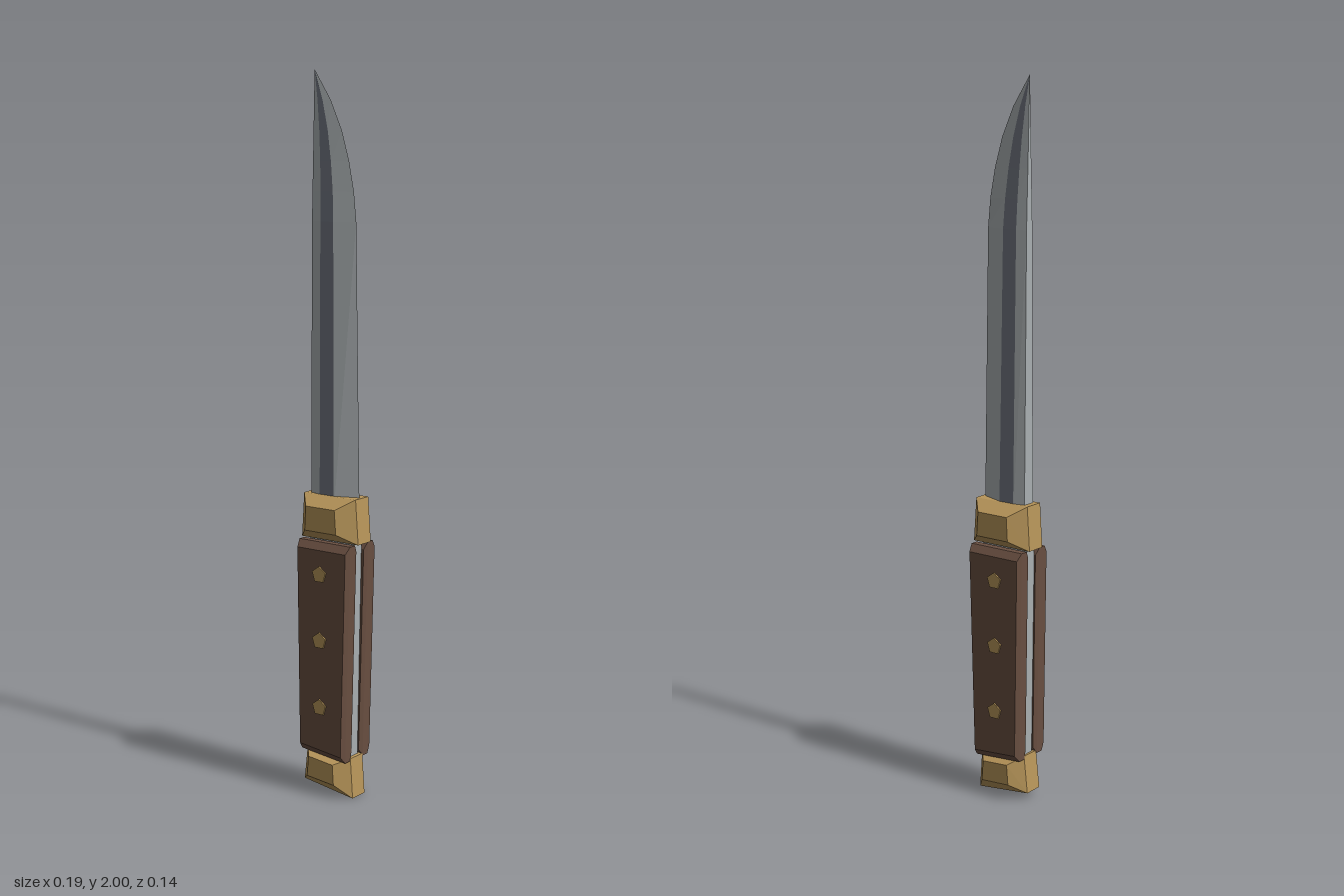
import * as THREE from 'three';

const mat = (name, color) => {
  const m = new THREE.MeshStandardMaterial({ color });
  m.name = name;
  return m;
};

// Flat-shaded loft through equal-length rings; sideMat picks a material index for each side
function loft(rings, sideMat = () => 0) {
  const n = rings[0].length;
  const faces = [[], []];
  const last = rings[rings.length - 1];
  for (let r = 0; r < rings.length - 1; r++) {
    for (let i = 0; i < n; i++) {
      const j = (i + 1) % n;
      const [a, b, c, d] = [rings[r][i], rings[r][j], rings[r + 1][j], rings[r + 1][i]];
      faces[sideMat(i)].push(...a, ...b, ...c, ...a, ...c, ...d);
    }
  }
  for (let i = 1; i < n - 1; i++) {
    faces[0].push(...last[0], ...last[i], ...last[i + 1]);
    faces[0].push(...rings[0][0], ...rings[0][i + 1], ...rings[0][i]);
  }
  const geo = new THREE.BufferGeometry();
  geo.setAttribute('position', new THREE.Float32BufferAttribute([...faces[0], ...faces[1]], 3));
  geo.addGroup(0, faces[0].length / 3, 0);
  if (faces[1].length) geo.addGroup(faces[0].length / 3, faces[1].length / 3, 1);
  geo.computeVertexNormals();
  return geo;
}

// Block made of four-cornered outlines stacked along z: layers = [[z, corners], ...]
const block = (layers) => loft(layers.map(([z, pts]) => pts.map(([x, y]) => [x, y, z])));

// Pull the corners (order: lower left, lower right, upper right, upper left) inwards
const inset = (pts, dx, dy) => pts.map(([x, y], i) => [
  x + (i === 0 || i === 3 ? dx : -dx),
  y + (i < 2 ? dy : -dy),
]);

export function createModel() {
  const steel = mat('steel', 0xaab0b2);
  const darkSteel = mat('dark steel', 0x727782);
  const brass = mat('brass', 0xb8965a);
  const wood = mat('wood', 0x694f41);

  const knife = new THREE.Group();
  knife.name = 'knife';
  const add = (name, geo, material) => {
    const mesh = new THREE.Mesh(geo, material);
    mesh.name = name;
    knife.add(mesh);
    return mesh;
  };

  // Blade: straight spine, dark central band, edge curving to the tip
  const spine = -0.073;
  const stations = [ // y, edge x, half thickness
    [0.8, 0.079, 0.026], [1.6, 0.066, 0.017], [1.68, 0.058, 0.0137], [1.76, 0.042, 0.0102],
    [1.84, 0.018, 0.0068], [1.92, -0.019, 0.0035], [2.0, -0.0725, 0.0002],
  ];
  const bladeRings = stations.map(([y, edge, t]) => {
    const k = (edge - spine) / 0.15;
    const s0 = [spine, 0.75 * t], s1 = [spine + 0.034 * k, t], s2 = [spine + 0.081 * k, t];
    return [
      ...[s0, s1, s2].map(([x, z]) => [x, y, z]),
      [edge, y, 0],
      ...[s2, s1, s0].map(([x, z]) => [x, y, -z]),
    ];
  });
  add('blade', loft(bladeRings, (i) => (i === 1 || i === 4 ? 1 : 0)), [steel, darkSteel]);

  // Tang between the grip scales
  const tang = [[-0.072, 0.09], [0.06, 0.08], [0.074, 0.76], [-0.08, 0.76]];
  add('tang', block([[-0.017, tang], [0.017, tang]]), steel);

  // Guard and pommel: blocks with raised, tapered front and back
  const fitting = (name, outer, inner, zIn, zOut) =>
    add(name, block([[-zOut, inner], [-zIn, outer], [zIn, outer], [zOut, inner]]), brass);
  fitting('guard',
    [[-0.098, 0.73], [0.096, 0.73], [0.087, 0.855], [-0.09, 0.855]],
    [[-0.055, 0.76], [0.052, 0.76], [0.047, 0.828], [-0.051, 0.828]], 0.029, 0.072);
  fitting('pommel',
    [[-0.092, 0.022], [0.078, 0], [0.07, 0.115], [-0.08, 0.13]],
    [[-0.053, 0.05], [0.04, 0.042], [0.036, 0.1], [-0.048, 0.108]], 0.028, 0.067);

  // Wooden grip scales with bevelled rims, one on each side
  const scale = [[-0.082, 0.122], [0.07, 0.108], [0.086, 0.728], [-0.089, 0.728]];
  const rim = inset(scale, 0.005, 0.02);
  const layers = [[0.017, rim], [0.03, scale], [0.052, scale], [0.068, rim]];
  add('frontScale', block(layers), wood);
  add('backScale', block(layers.map(([z, pts]) => [-z, pts]).reverse()), wood);

  // Five-sided pins through the grip
  for (const y of [0.64, 0.452, 0.26]) {
    const geo = new THREE.CylinderGeometry(0.024, 0.024, 0.144, 5).toNonIndexed();
    geo.computeVertexNormals();
    geo.rotateX(Math.PI / 2);
    geo.rotateZ(Math.PI);
    add('pin', geo, brass).position.set(-0.007, y, 0);
  }
  return knife;
}
